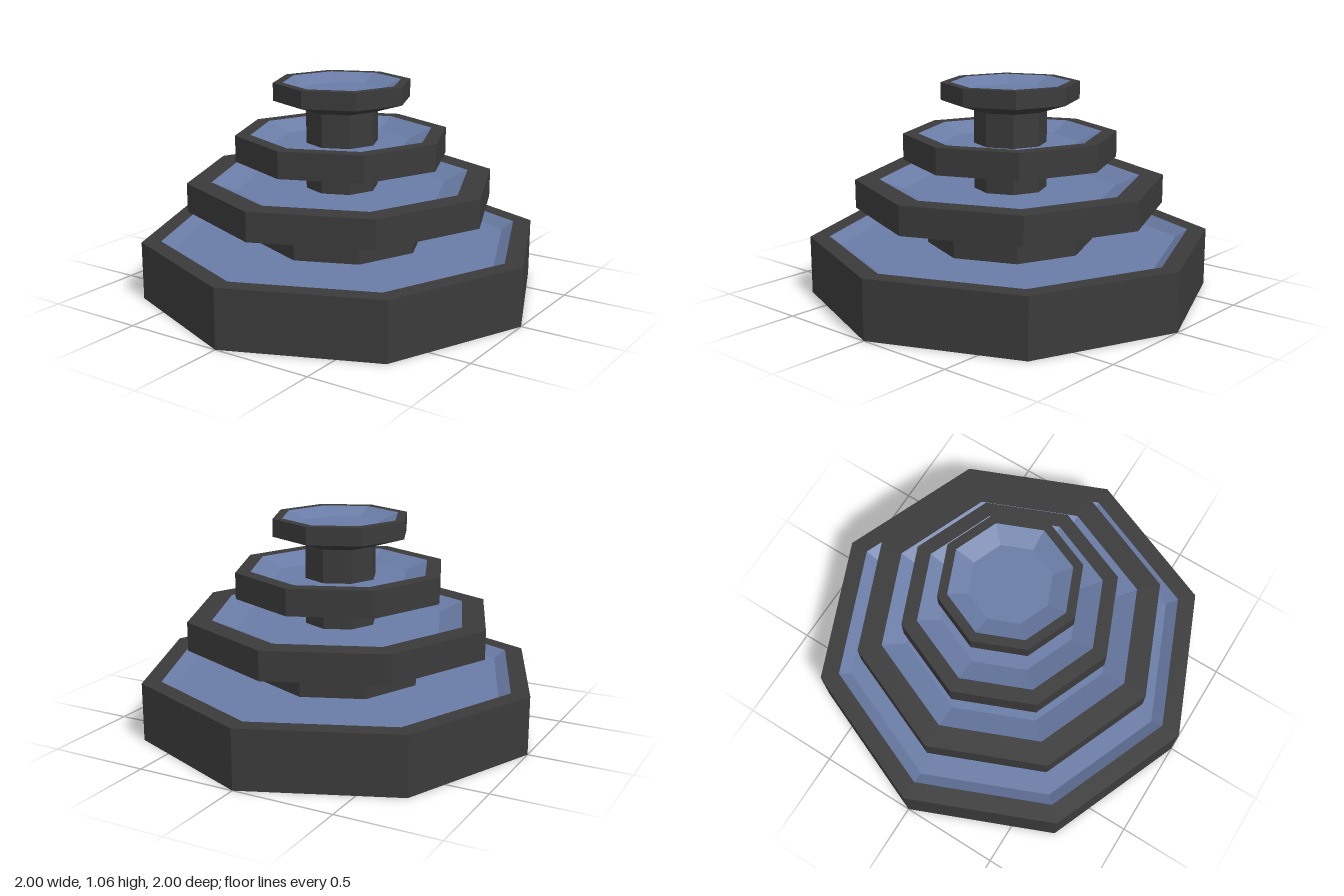
import * as THREE from 'three';

const stone = new THREE.MeshStandardMaterial({ color: 0x3a3a3a, flatShading: true, side: THREE.DoubleSide });
const water = new THREE.MeshStandardMaterial({ color: 0x6a7ca6, flatShading: true, side: THREE.DoubleSide });

// Eight-sided ring surface from a list of [radius, height], corners on the axes
function octagon(name, profile, material) {
  const points = profile.map(([r, y]) => new THREE.Vector2(r, y));
  const geometry = new THREE.LatheGeometry(points, 8).toNonIndexed();
  geometry.computeVertexNormals();
  const mesh = new THREE.Mesh(geometry, material);
  mesh.name = name;
  return mesh;
}

// Stone shell up to the rim, with a shallow water basin inside it
function tier(name, { under = [], wallBottom, top, outer, inner, floor, depth }) {
  const group = new THREE.Group();
  group.name = name;
  group.add(
    octagon(name + 'Stone', [...under, [outer, wallBottom], [outer, top], [inner, top]], stone),
    octagon(name + 'Water', [[inner, top], [floor, top - depth], [0, top - depth]], water)
  );
  return group;
}

export function createModel() {
  const fountain = new THREE.Group();
  fountain.name = 'tieredFountain';

  // Pool and bowls, from the ground up
  fountain.add(
    tier('pool', { wallBottom: 0, top: 0.29, outer: 1, inner: 0.905, floor: 0.845, depth: 0.04 }),
    tier('lowerBowl', { under: [[0.41, 0.385]], wallBottom: 0.435, top: 0.577, outer: 0.77, inner: 0.65, floor: 0.53, depth: 0.05 }),
    tier('middleBowl', { under: [[0.18, 0.615]], wallBottom: 0.675, top: 0.805, outer: 0.53, inner: 0.455, floor: 0.34, depth: 0.05 }),
    tier('topBowl', { under: [[0.18, 0.92]], wallBottom: 0.97, top: 1.057, outer: 0.342, inner: 0.295, floor: 0.2, depth: 0.04 })
  );

  // Hollow columns between the tiers; the lowest reaches below the pool floor
  const columns = [
    ['lowerColumn', 0.415, 0.123, 0.387],
    ['middleColumn', 0.18, 0.5, 0.618],
    ['topColumn', 0.18, 0.73, 0.923],
  ];
  for (const [name, r, bottom, top] of columns) {
    fountain.add(octagon(name, [[r, bottom], [r, top]], stone));
  }
  return fountain;
}
